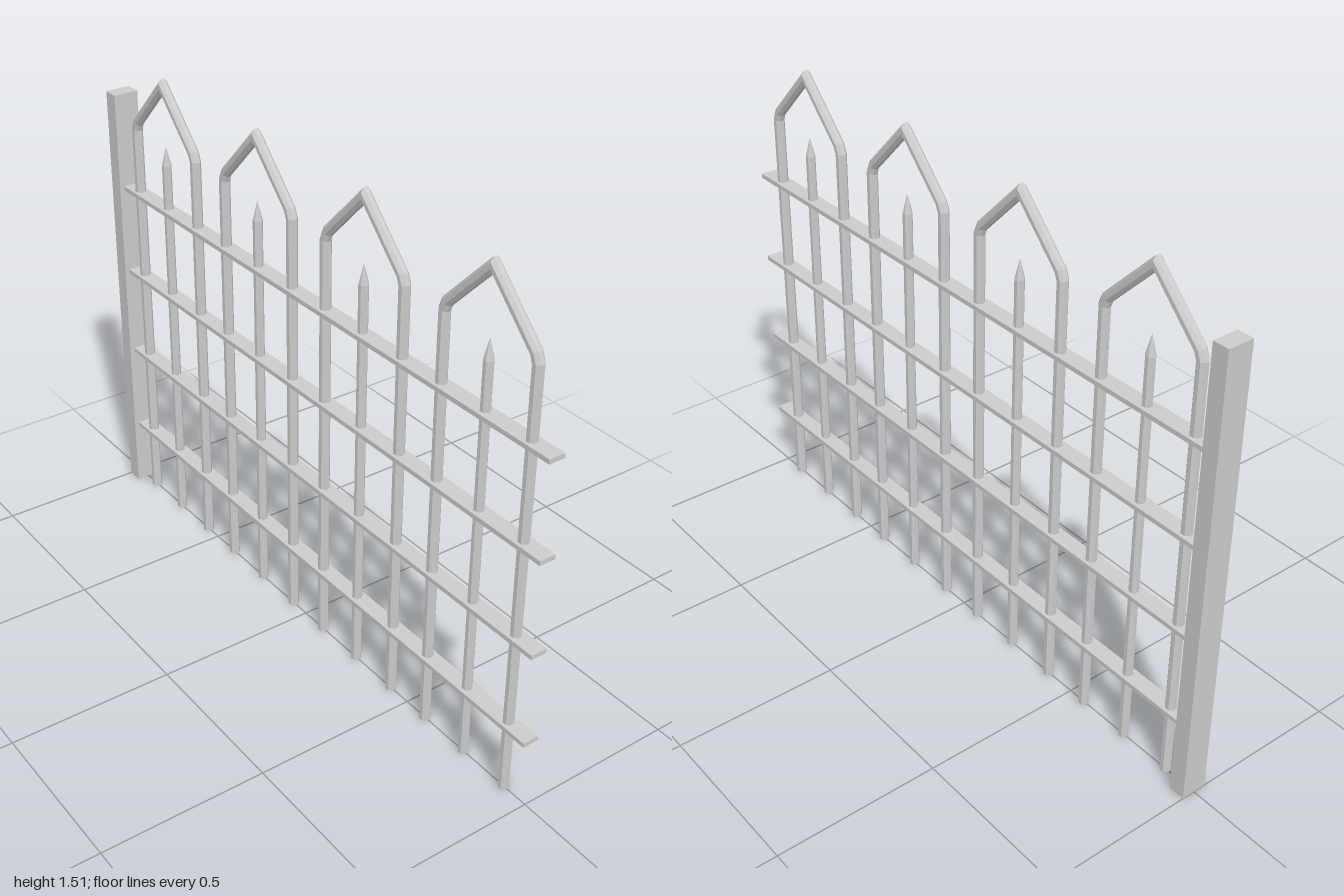
import * as THREE from 'three';

const SIDES = 8;
const mat = new THREE.MeshStandardMaterial({ color: 0xcccccc, flatShading: true, side: THREE.DoubleSide });

// Sweeps a faceted round bar along a path in the XY plane, with mitred corners
function sweptBar(points, radius) {
  const position = [], index = [];
  const last = points.length - 1;
  points.forEach((p, i) => {
    const before = p.clone().sub(points[Math.max(i - 1, 0)]).normalize();
    const after = points[Math.min(i + 1, last)].clone().sub(p).normalize();
    const tangent = before.clone().add(after).normalize();
    const stretch = 1 / tangent.dot(i < last ? after : before);
    for (let j = 0; j < SIDES; j++) {
      const a = ((j + 0.5) / SIDES) * Math.PI * 2;
      const off = Math.cos(a) * radius * stretch;
      position.push(p.x - tangent.y * off, p.y + tangent.x * off, Math.sin(a) * radius);
      if (i < last) {
        const k = (j + 1) % SIDES, r = i * SIDES;
        index.push(r + j, r + k, r + SIDES + k, r + j, r + SIDES + k, r + SIDES + j);
      }
    }
  });
  const g = new THREE.BufferGeometry();
  g.setAttribute('position', new THREE.Float32BufferAttribute(position, 3));
  g.setIndex(index);
  g.computeVertexNormals();
  return g;
}

export function createModel() {
  const group = new THREE.Group();
  const add = (name, geometry, x, y) => {
    const mesh = new THREE.Mesh(geometry, mat);
    mesh.name = name;
    mesh.position.set(x, y, 0);
    group.add(mesh);
  };

  // End post, hollow with an open foot (the box's bottom face is left out)
  const post = new THREE.BoxGeometry(0.05, 1.395, 0.08);
  post.setIndex([...post.index.array].filter((v, i) => i < 18 || i >= 24));
  post.clearGroups();
  add('endPost', post, -0.975, 0.6975);

  // Flat horizontal rails
  const rail = new THREE.BoxGeometry(1.95, 0.014, 0.05);
  for (let i = 0; i < 4; i++) add('rail', rail, 0.025, 0.22 + i * 0.289);

  // Pointed hoop: two legs meeting in a gable
  const half = [[-0.167, 0], [-0.167, 1.3], [-0.157, 1.325]];
  const path = [...half, [0, 1.484], ...half.map(([x, y]) => [-x, y]).reverse()];
  const hoop = sweptBar(path.map(([x, y]) => new THREE.Vector2(x, y)), 0.0165);

  // Spear-tipped picket in the middle of each hoop
  const profile = [[0.0155, 0], [0.0145, 1.235], [0, 1.295]].map(([x, y]) => new THREE.Vector2(x, y));
  const picket = new THREE.LatheGeometry(profile, SIDES, Math.PI / SIDES);

  for (let i = 0; i < 4; i++) {
    const x = -0.723 + i * 0.49;
    add('hoop', hoop, x, 0);
    add('picket', picket, x, 0);
  }
  return group;
}
